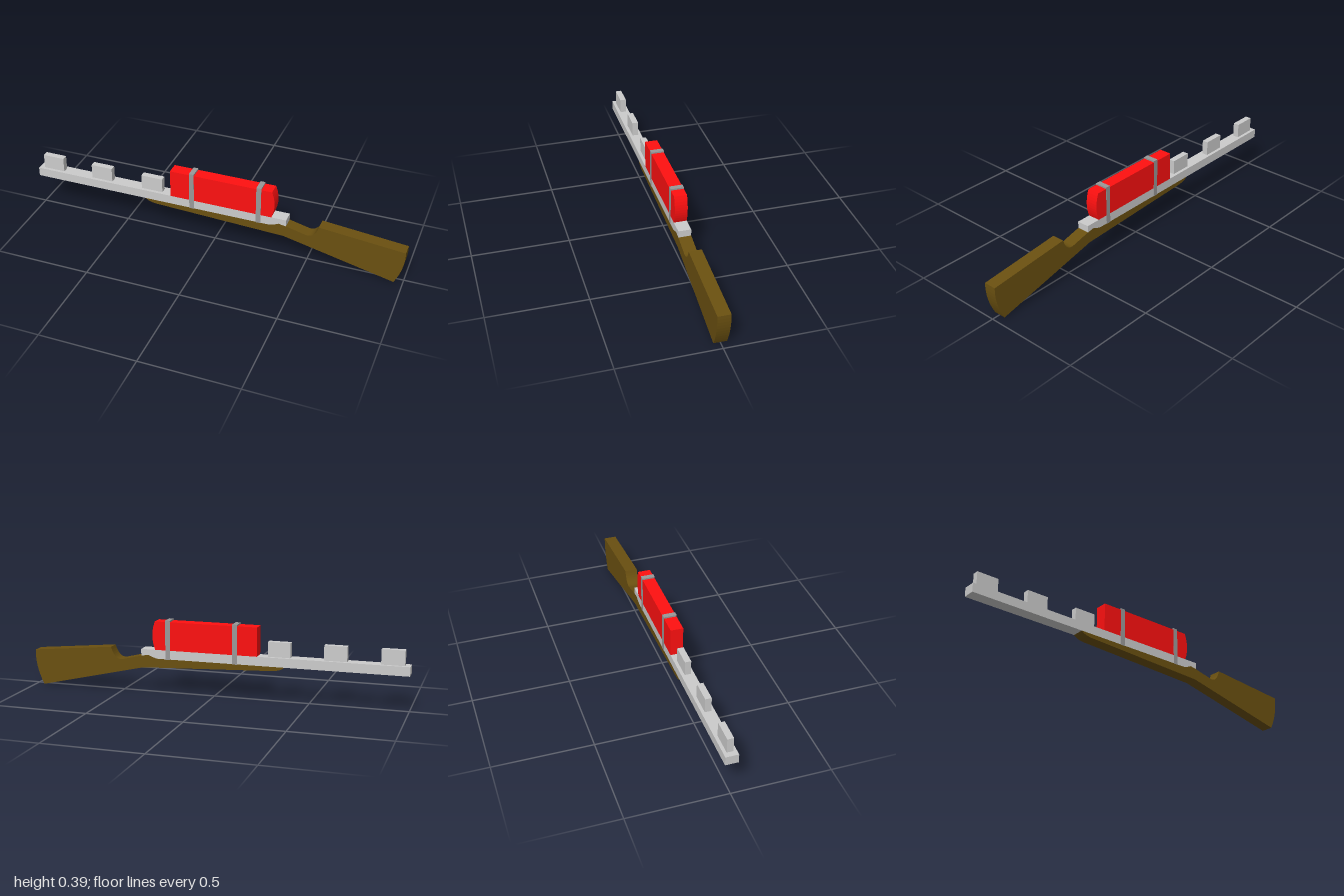
import * as THREE from 'three';

const DEPTH = 0.065;

function mesh(name, geometry, color) {
  const m = new THREE.Mesh(geometry, new THREE.MeshStandardMaterial({ color, flatShading: true }));
  m.name = name;
  return m;
}

// Side profile extruded evenly about z = 0
function plate(name, shape, color) {
  const g = new THREE.ExtrudeGeometry(shape, { depth: DEPTH, bevelEnabled: false, curveSegments: 10 });
  g.translate(0, 0, -DEPTH / 2);
  return mesh(name, g, color);
}

// Box given by its x and y limits and its depth
function block(name, x0, x1, y0, y1, depth, color) {
  const m = mesh(name, new THREE.BoxGeometry(x1 - x0, y1 - y0, depth), color);
  m.position.set((x0 + x1) / 2, (y0 + y1) / 2, 0);
  return m;
}

export function createModel() {
  const model = new THREE.Group();
  const grey = 0xcccccc, wood = 0x6a5010, red = 0xff1010, strapGrey = 0x999999;

  // Long rail, its underside stepped to sit on the stock
  const rail = new THREE.Shape();
  rail.moveTo(-1, 0.187);
  rail.lineTo(0.3, 0.187);
  rail.quadraticCurveTo(0.33, 0.193, 0.35, 0.205);
  rail.lineTo(0.39, 0.198);
  rail.lineTo(0.39, 0.234);
  rail.lineTo(-1, 0.234);
  model.add(plate('rail', rail, grey));

  // Stock: slim fore-end, curved grip notch and flared butt
  const stock = new THREE.Shape();
  stock.moveTo(-0.375, 0.187);
  stock.quadraticCurveTo(-0.355, 0.166, -0.3, 0.165);
  stock.lineTo(0.38, 0.136);
  stock.lineTo(0.955, 0.003);
  stock.quadraticCurveTo(1.005, 0.1, 0.999, 0.191);
  stock.lineTo(0.56, 0.234);
  stock.bezierCurveTo(0.545, 0.18, 0.52, 0.168, 0.495, 0.172);
  stock.lineTo(0.39, 0.198);
  stock.lineTo(0.35, 0.205);
  stock.quadraticCurveTo(0.33, 0.193, 0.3, 0.187);
  model.add(plate('stock', stock, wood));

  // Tank with a bulging rear end
  const tank = new THREE.Shape();
  tank.moveTo(-0.234, 0.234);
  tank.lineTo(0.312, 0.234);
  tank.quadraticCurveTo(0.342, 0.309, 0.312, 0.384);
  tank.lineTo(-0.234, 0.384);
  model.add(plate('tank', tank, red));

  // Straps around tank and rail
  for (const x of [-0.117, 0.243]) {
    model.add(block('strap', x - 0.013, x + 0.013, 0.185, 0.392, DEPTH + 0.002, strapGrey));
  }

  // Upright blocks along the rail
  for (const x of [-0.914, -0.631, -0.345]) {
    model.add(block('railBlock', x - 0.058, x + 0.058, 0.234, 0.311, 0.032, grey));
  }
  return model;
}
